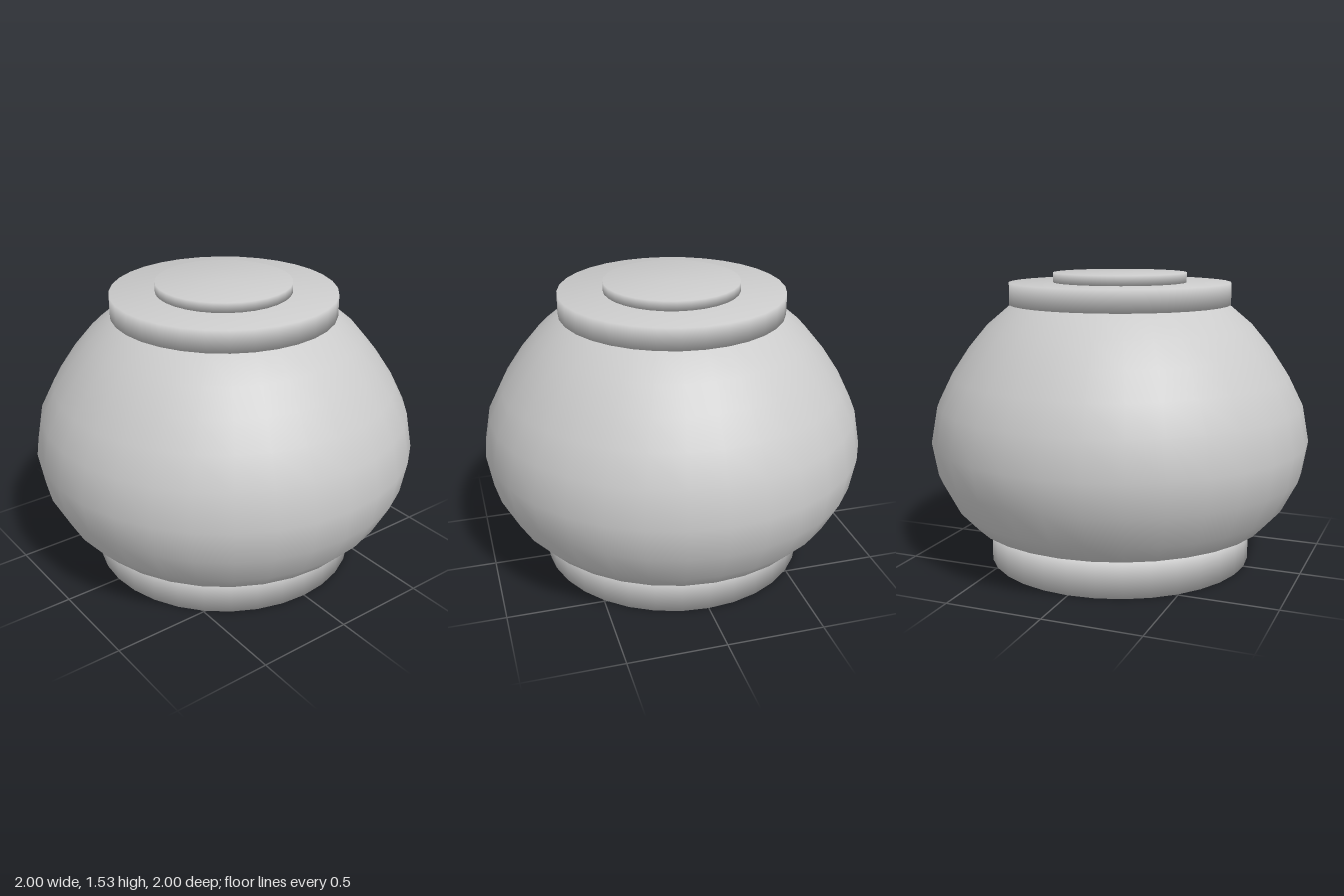
import * as THREE from 'three';
import { mergeVertices } from 'three/addons/utils/BufferGeometryUtils.js';

const SIDES = 32;

export function createModel() {
  const group = new THREE.Group();
  const material = new THREE.MeshStandardMaterial({ color: 0xcccccc });

  const add = (name, geometry) => {
    const mesh = new THREE.Mesh(geometry, material);
    mesh.name = name;
    group.add(mesh);
  };

  // Closed disc with shared rim vertices, so the shading rolls softly over the edge
  const addDisc = (name, radius, bottom, top) => {
    let geometry = new THREE.CylinderGeometry(radius, radius, top - bottom, SIDES);
    geometry.deleteAttribute('uv');
    geometry.deleteAttribute('normal');
    geometry = mergeVertices(geometry, 1e-4);
    geometry.computeVertexNormals();
    geometry.translate(0, (bottom + top) / 2, 0);
    add(name, geometry);
  };

  // Squat round body, widest below its middle
  const profile = [
    [0, 0.14], [0.5, 0.15], [0.64, 0.18], [0.795, 0.222], [0.885, 0.32],
    [0.97, 0.485], [1, 0.66], [0.965, 0.85], [0.89, 1.0], [0.8, 1.135],
    [0.7, 1.255], [0.57, 1.365], [0.45, 1.42], [0, 1.44],
  ].map(([r, y]) => new THREE.Vector2(r, y));
  add('body', new THREE.LatheGeometry(profile, SIDES));

  // Foot below, collar and lid button above
  addDisc('foot', 0.7, 0, 0.18);
  addDisc('collar', 0.582, 1.365, 1.477);
  addDisc('lidButton', 0.35, 1.477, 1.527);

  return group;
}
